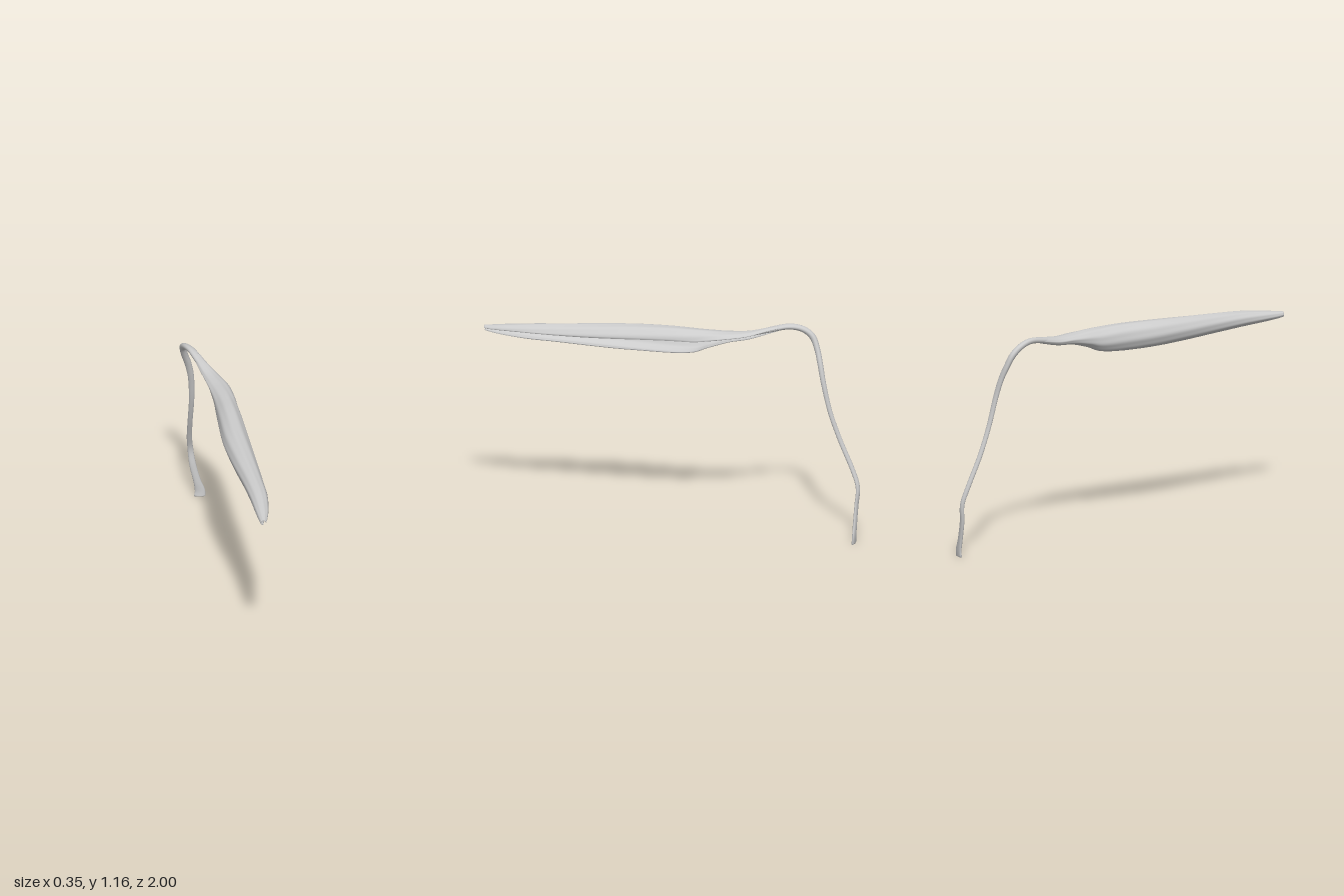
import * as THREE from 'three';

const V = (x, y, z) => new THREE.Vector3(x, y, z);
const spline = (pts) => new THREE.CatmullRomCurve3(pts, false, 'catmullrom', 0.5);

// Skin a list of closed cross-section loops and cap both ends.
function loft(rings, name, material) {
  const n = rings[0].length, pos = [], idx = [];
  rings.forEach((r) => r.forEach((p) => pos.push(p.x, p.y, p.z)));
  for (let i = 0; i < rings.length - 1; i++) {
    for (let j = 0; j < n; j++) {
      const a = i * n + j, b = i * n + (j + 1) % n;
      idx.push(a, b, a + n, b, b + n, a + n);
    }
  }
  const last = (rings.length - 1) * n;
  for (let j = 0; j < n / 2 - 1; j++) {
    const k = n - 1 - j;
    idx.push(j, k, j + 1, j + 1, k, k - 1);
    idx.push(last + j, last + j + 1, last + k, last + j + 1, last + k - 1, last + k);
  }
  const g = new THREE.BufferGeometry();
  g.setAttribute('position', new THREE.Float32BufferAttribute(pos, 3));
  g.setIndex(idx);
  g.computeVertexNormals();
  const mesh = new THREE.Mesh(g, material);
  mesh.name = name;
  return mesh;
}

// Stem stations: x, y, z, half width, half depth
const STEM = [
  [-0.05, 0.005, -0.978, 0.03, 0.009],
  [-0.05, 0.04, -0.98, 0.027, 0.009],
  [-0.065, 0.1, -0.979, 0.02, 0.01],
  [-0.088, 0.2, -0.98, 0.018, 0.01],
  [-0.1, 0.3, -0.984, 0.015, 0.011],
  [-0.107, 0.4, -0.95, 0.014, 0.012],
  [-0.107, 0.55, -0.885, 0.013, 0.012],
  [-0.104, 0.7, -0.832, 0.014, 0.012],
  [-0.109, 0.85, -0.795, 0.016, 0.013],
  [-0.125, 0.95, -0.772, 0.018, 0.014],
  [-0.148, 1.03, -0.747, 0.018, 0.015],
  [-0.16, 1.095, -0.715, 0.017, 0.017],
  [-0.15, 1.135, -0.66, 0.018, 0.016],
  [-0.122, 1.148, -0.59, 0.02, 0.015],
  [-0.085, 1.132, -0.5, 0.022, 0.014],
  [-0.045, 1.112, -0.4, 0.014, 0.01],
  [-0.01, 1.115, -0.31, 0.006, 0.006],
];

function makeStem(material) {
  const path = spline(STEM.map((s) => V(s[0], s[1], s[2])));
  const size = spline(STEM.map((s) => V(s[3], s[4], 0)));
  const rings = [], steps = 110, sides = 16;
  for (let i = 0; i <= steps; i++) {
    const t = i / steps, c = path.getPoint(t), s = size.getPoint(t);
    const tan = path.getTangent(t);
    const wide = V(1, 0, 0).addScaledVector(tan, -tan.x).normalize();
    const deep = tan.clone().cross(wide);
    rings.push(Array.from({ length: sides }, (_, j) => {
      const a = (j / sides) * Math.PI * 2;
      const ridge = 1 + 0.06 * Math.sin(3 * a + t * 9);
      return c.clone().addScaledVector(wide, Math.cos(a) * s.x * ridge)
        .addScaledVector(deep, Math.sin(a) * s.y * ridge);
    }));
  }
  return loft(rings, 'stem', material);
}

// Blade stations: z, left x, right x, bottom y, top y
const BLADE = [
  [-0.55, -0.12, -0.078, 1.128, 1.156],
  [-0.5, -0.108, -0.054, 1.112, 1.148],
  [-0.4, -0.08, 0.005, 1.084, 1.131],
  [-0.3, -0.058, 0.052, 1.07, 1.13],
  [-0.2, -0.042, 0.075, 1.038, 1.135],
  [-0.12, -0.036, 0.086, 1.006, 1.138],
  [0, -0.031, 0.1, 0.993, 1.141],
  [0.2, -0.021, 0.12, 0.992, 1.136],
  [0.4, 0.01, 0.14, 1.0, 1.126],
  [0.6, 0.05, 0.159, 1.011, 1.114],
  [0.75, 0.076, 0.172, 1.02, 1.104],
  [0.88, 0.094, 0.167, 1.029, 1.09],
  [0.96, 0.106, 0.155, 1.037, 1.079],
  [1.0, 0.113, 0.145, 1.044, 1.074],
];

// Curled blade: a thin C-shaped section open to the side and downward
function makeBlade(material) {
  const low = spline(BLADE.map((b) => V(b[1], b[3], b[0])));
  const high = spline(BLADE.map((b) => V(b[2], b[4], b[0])));
  const rings = [], steps = 110, arc = 36;
  for (let i = 0; i <= steps; i++) {
    const t = i / steps, p = low.getPoint(t), q = high.getPoint(t);
    const cx = (p.x + q.x) / 2, cy = (p.y + q.y) / 2;
    const rx = (q.x - p.x) / 2, ry = (q.y - p.y) / 2;
    const thick = Math.min(0.006, ry * 0.3);
    const start = 0.12 + 0.06 * Math.sin(t * 17);
    const end = 4.9 + 0.1 * Math.sin(t * 23 + 1);
    const outer = [], inner = [];
    for (let j = 0; j <= arc; j++) {
      const a = start + (end - start) * (j / arc);
      // shallow lengthwise wrinkles
      const w = 1 - 0.02 * (1 + Math.sin(9 * a + t * 14));
      const at = (d) => V(cx + Math.cos(a) * (rx * w - d), cy + Math.sin(a) * (ry * w - d), p.z);
      outer.push(at(0));
      inner.unshift(at(thick));
    }
    rings.push([...outer, ...inner]);
  }
  return loft(rings, 'leafBlade', material);
}

export function createModel() {
  const material = new THREE.MeshStandardMaterial({
    color: 0xcccccc, roughness: 0.8, side: THREE.DoubleSide,
  });
  const group = new THREE.Group();
  group.name = 'curledLeaf';
  group.add(makeStem(material), makeBlade(material));
  return group;
}
